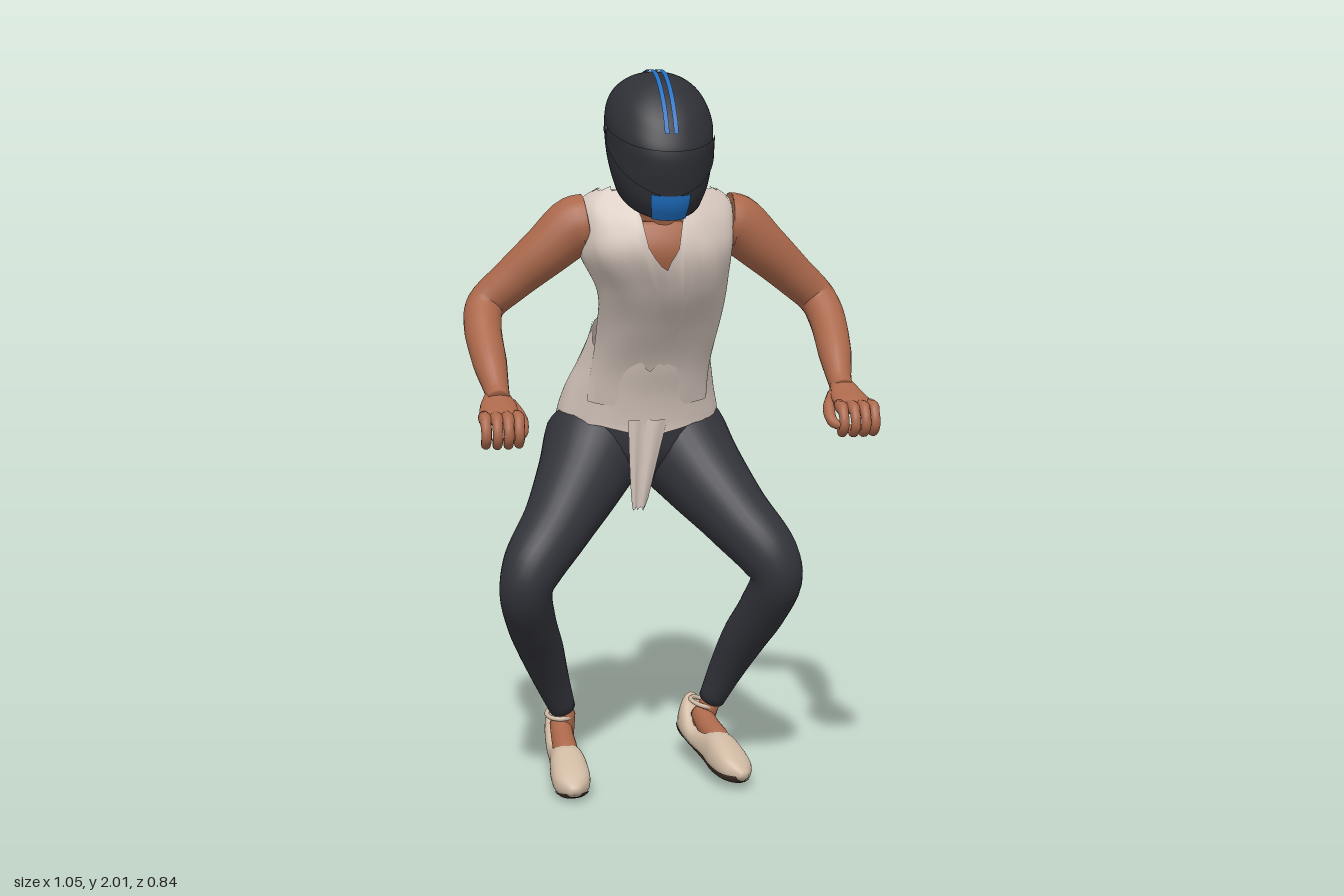
import * as THREE from 'three';

const mat = (name, color, side = THREE.FrontSide) => {
  const m = new THREE.MeshStandardMaterial({ color, side });
  m.name = name;
  return m;
};

// Cubic interpolation through rows of [key, ...values]
function sample(T, x) {
  let i = 0;
  while (i < T.length - 2 && x > T[i + 1][0]) i++;
  const a = T[i], b = T[i + 1], p = T[i - 1] || a, n = T[i + 2] || b;
  const h = b[0] - a[0], t = THREE.MathUtils.clamp((x - a[0]) / h, 0, 1);
  return a.slice(1).map((v, j) => {
    const k = j + 1;
    const m0 = ((b[k] - p[k]) / (b[0] - p[0])) * h, m1 = ((n[k] - a[k]) / (n[0] - a[0])) * h;
    return (2 * t ** 3 - 3 * t * t + 1) * v + (t ** 3 - 2 * t * t + t) * m0
      + (3 * t * t - 2 * t ** 3) * b[k] + (t ** 3 - t * t) * m1;
  });
}

// Straight interpolation, for cloth edges: keys are |angle|, values are heights
const edge = (T) => (a) => {
  const x = Math.abs(a);
  let i = 0;
  while (i < T.length - 2 && x > T[i + 1][0]) i++;
  return THREE.MathUtils.mapLinear(x, T[i][0], T[i + 1][0], T[i][1], T[i + 1][1]);
};

// Skin rows of points into a surface
function grid(rows, closed) {
  const n = rows[0].length, idx = [];
  for (let i = 0; i < rows.length - 1; i++)
    for (let j = 0; j < (closed ? n : n - 1); j++) {
      const k = (j + 1) % n, a = i * n + j, b = i * n + k, c = b + n, d = a + n;
      idx.push(a, b, c, a, c, d);
    }
  const g = new THREE.BufferGeometry().setFromPoints(rows.flat());
  g.setIndex(idx);
  g.computeVertexNormals();
  return g;
}

function capped(rows) {
  const mid = (r) => {
    const c = r.reduce((s, p) => s.add(p), new THREE.Vector3()).divideScalar(r.length);
    return r.map(() => c.clone());
  };
  return [mid(rows[0]), ...rows, mid(rows[rows.length - 1])];
}

// Stacked ovals from a table [y, centreX, halfWidth, frontZ, backZ]
function shell(T, low, high, { n = 48, rows = 24, grow = 0, arc = null, cap = false, q = 1, shape = null } = {}) {
  const lo = typeof low === 'function' ? low : () => low;
  const hi = typeof high === 'function' ? high : () => high;
  const bend = (v) => Math.sign(v) * Math.abs(v) ** q;
  const out = [];
  for (let i = 0; i <= rows; i++) {
    const r = [];
    for (let j = 0; j < (arc ? n + 1 : n); j++) {
      const a = arc ? THREE.MathUtils.lerp(arc[0], arc[1], j / n) : (j / n) * 2 * Math.PI - Math.PI;
      const y = THREE.MathUtils.lerp(lo(a), hi(a), i / rows);
      const [cx, w, zf, zb] = sample(T, y);
      const k = shape ? shape(a, y) : 1;
      r.push(new THREE.Vector3(cx + (w + grow) * k * bend(Math.sin(a)), y,
        (zf + zb) / 2 + ((zf - zb) / 2 + grow) * k * bend(Math.cos(a))));
    }
    out.push(r);
  }
  return grid(cap ? capped(out) : out, !arc);
}

// Limb: path of [x, y, z, radius, flatness], with a reference direction
function limb(path, ref = [0, 0, 1], steps = 28, n = 20) {
  const curve = new THREE.CatmullRomCurve3(path.map((p) => new THREE.Vector3(p[0], p[1], p[2])));
  const size = new THREE.CatmullRomCurve3(path.map((p) => new THREE.Vector3(p[3], p[3] * (p[4] || 1), 0)));
  const F = new THREE.Vector3(...ref), rows = [];
  for (let i = 0; i <= steps; i++) {
    const u = i / steps, c = curve.getPoint(u), t = curve.getTangent(u), r = size.getPoint(u);
    const s = t.clone().cross(F).normalize(), f = s.clone().cross(t);
    rows.push(Array.from({ length: n }, (_, j) => {
      const a = (j / n) * 2 * Math.PI;
      return c.clone().addScaledVector(s, Math.sin(a) * r.x).addScaledVector(f, Math.cos(a) * r.y);
    }));
  }
  return grid(capped(rows), true);
}

const TORSO = [[1.08, 0, .17, -.05, -.17], [1.2, .01, .168, -.004, -.145], [1.32, .017, .168, .075, -.105],
  [1.42, .015, .178, .15, -.08], [1.52, -.008, .207, .195, -.065], [1.6, -.01, .212, .178, -.05],
  [1.66, -.008, .205, .14, -.02], [1.7, -.008, .15, .12, .03]];
const HIPS = [[.86, 0, .14, -.12, -.32], [.94, 0, .23, -.065, -.41], [1.04, 0, .232, -.05, -.417], [1.12, 0, .213, -.03, -.385],
  [1.2, .005, .188, 0, -.325], [1.3, .005, .16, .03, -.235], [1.4, 0, .14, .03, -.215]];
const HELMET = [[-.1, 0, .114, .22, -.115], [-.06, 0, .128, .222, -.145], [-.02, 0, .136, .212, -.178], [.03, 0, .138, .198, -.215],
  [.07, 0, .135, .18, -.198], [.1, 0, .122, .15, -.17], [.13, 0, .098, .11, -.13], [.155, 0, .058, .05, -.08], [.166, 0, .02, -.005, -.035]];
// Foot table runs heel to toe; "front" is the sole
const FOOT = [[-.298, 0, .015, -.08, -.175], [-.275, 0, .036, -.058, -.18], [-.2, 0, .042, -.045, -.1], [-.13, 0, .044, -.028, -.105],
  [-.08, 0, .048, -.015, -.117], [-.03, 0, .054, -.003, -.105], [.04, 0, .048, -.003, -.075], [.082, 0, .014, -.022, -.045]];

export function createModel() {
  const skin = mat('skin', 0xab684b), cloth = mat('cloth', 0xd8c9bf, THREE.DoubleSide);
  const pants = mat('dark trousers', 0x33343b), dark = mat('helmet shell', 0x2f3036);
  const blue = mat('blue paint', 0x1f70c4, THREE.DoubleSide);
  const shoe = mat('shoe leather', 0xcfb9a3), soleMat = mat('sole', 0x43342a);
  const root = new THREE.Group();
  const add = (name, geo, m, parent = root) => {
    const mesh = new THREE.Mesh(geo, m);
    mesh.name = name;
    parent.add(mesh);
    return mesh;
  };

  // Body under the clothes
  add('chest', shell(TORSO, 1.34, 1.61, { grow: -.012, cap: true }), skin);
  add('neck', limb([[0, 1.55, .09, .07], [-.005, 1.62, .115, .055], [-.012, 1.67, .145, .048], [-.02, 1.74, .18, .046]]), skin);

  // Torn top with a V neck and an open back
  const jag = (a) => .009 * Math.sin(a * 17) + .006 * Math.sin(a * 31 + 1);
  const neckline = edge([[0, 1.48], [.2, 1.54], [.27, 1.63], [.45, 1.68], [.9, 1.695], [1.5, 1.69], [1.9, 1.69], [2.15, 1.54],
    [2.3, 1.68], [2.9, 1.695], [3, 1.58], [3.15, 1.56]]);
  const waistline = edge([[0, 1.08], [1.4, 1.1], [2, 1.28], [3.15, 1.3]]);
  add('top', shell(TORSO, waistline, (a) => neckline(a) + .5 * jag(a), { n: 96, rows: 36,
    shape: (a, y) => 1 + .012 * Math.sin(a * 9 + y * 14) + .012 * Math.sin(a * 4 - y * 22) }), cloth);

  // Skirt of the top, gaping behind the waist and split over the seat
  const waist = edge([[0, 1.2], [1, 1.24], [1.5, 1.3], [2.2, 1.32], [2.75, 1.375], [3.15, 1.32]]);
  const hem = edge([[0, 1], [.6, 1.03], [1.57, 1.05], [2.2, 1], [2.65, .92], [2.85, .94], [3.15, 1.1]]);
  const seat = (a) => 1 - .045 * Math.exp(-(((Math.PI - Math.abs(a)) / .22) ** 2));
  add('skirt', shell(HIPS, hem, (a) => waist(a) + jag(a), { n: 96, rows: 24,
    shape: (a, y) => seat(a) + .008 * Math.sin(a * 11 + y * 9) * (Math.cos(a) > -.3 ? 1 : .2) }), cloth);
  const flap = Array.from({ length: 9 }, (_, i) => {
    const t = i / 8, l = THREE.MathUtils.lerp(-.045, -.062, t ** .6), r = THREE.MathUtils.lerp(-.008, .05, t);
    return Array.from({ length: 9 }, (_, j) => new THREE.Vector3(THREE.MathUtils.lerp(l, r, j / 8),
      .79 + .26 * t + (i ? 0 : .006 * (j % 3)), -.065 + .022 * t + .008 * Math.sin(j * 1.4)));
  });
  add('frontFlap', grid(flap, false), cloth);

  // Trousers
  add('trouserSeat', shell(HIPS, .865, 1.2, { grow: -.012, cap: true, shape: seat }), pants);

  for (const s of [1, -1]) {
    const side = s > 0 ? 'left' : 'right', w = s > 0 ? 1 : 1.06;
    const flip = (path, k = 1, dz = 0) => path.map(([x, y, z, ...r]) => [x * s * k, y, z + dz, ...r]);

    // Leg and ankle
    add(side + 'Leg', limb(flip([[.095, 1.0, -.26, .13], [.115, .96, -.225, .148], [.165, .88, -.15, .128], [.245, .77, -.045, .1],
      [.322, .67, .03, .085], [.343, .61, .043, .073], [.322, .5, -.025, .069], [.287, .4, -.1, .064],
      [.25, .29, -.162, .051], [.215, .19, -.2, .038]], w), [0, 0, 1], 44, 28), pants);
    add(side + 'Ankle', limb(flip([[.22, .23, -.19, .03], [.208, .17, -.205, .03], [s > 0 ? .175 : .215, .07, -.215, .032]], w)), skin);

    // Foot with shoe, sole and ankle strap
    const foot = new THREE.Group();
    foot.name = side + 'Foot';
    foot.position.set(s > 0 ? .214 : -.237, s > 0 ? .012 : 0, 0);
    foot.rotation.set(0, s > 0 ? .3 : -.02, s > 0 ? -.27 : 0);
    root.add(foot);
    add('shoe', shell(FOOT, -.298, .082, { cap: true, q: .85, n: 32 }).rotateX(Math.PI / 2), shoe, foot);
    add('sole', shell(FOOT, -.29, .075, { grow: .003, q: .85, n: 16, arc: [-1.15, 1.15] }).rotateX(Math.PI / 2), soleMat, foot);
    add('instep', limb([[0, .14, -.215, .03], [0, .113, -.16, .033], [0, .093, -.1, .035], [0, .078, -.06, .025]], [0, 1, 0]), skin, foot);
    const strap = add('ankleStrap', new THREE.TorusGeometry(.038, .007, 8, 28), shoe, foot);
    strap.position.set(0, .168, -.215);
    strap.rotation.x = Math.PI / 2 + .15;

    // Arm, cut square at the shoulder
    const dz = s > 0 ? 0 : .015;
    add(side + 'Arm', limb(flip([[.196, 1.596, .025, .082], [.222, 1.592, .025, .081], [.3, 1.528, .022, .069], [.39, 1.45, .005, .058],
      [.46, 1.385, 0, .052], [.475, 1.335, .05, .05], [.47, 1.25, .15, .045], [.462, 1.185, .225, .032], [.462, 1.165, .255, .03]],
      1, dz), [.6 * s, .8, 0], 40), skin);

    // Curled hand
    const hand = new THREE.Group();
    hand.name = side + 'Hand';
    root.add(hand);
    add('palm', limb(flip([[.462, 1.175, .235, .03, .9], [.464, 1.155, .28, .046, .5], [.467, 1.14, .33, .051, .4], [.467, 1.13, .36, .05, .35]]),
      [0, 1, 0], 14), skin, hand);
    for (let i = 0; i < 4; i++) {
      const x = .425 + i * .028, l = i === 0 || i === 3 ? -.01 : 0;
      add('finger', limb(flip([[x, 1.138, .34, .014], [x, 1.128, .392 + l, .014], [x, 1.09, .408 + l, .013],
        [x, 1.068, .385 + l, .012], [x, 1.078, .355, .009]]), [1, 0, 0], 14, 10), skin, hand);
    }
    add('thumb', limb(flip([[.432, 1.155, .27, .017], [.408, 1.12, .31, .016], [.412, 1.09, .345, .014], [.435, 1.085, .37, .009]]),
      [0, 1, 0], 12, 10), skin, hand);
  }

  // Helmet, tipped forward
  const helmet = new THREE.Group();
  helmet.name = 'helmet';
  helmet.position.set(-.02, 1.82, .15);
  helmet.rotation.x = Math.PI / 6;
  root.add(helmet);
  const q = .93;
  add('helmetShell', shell(HELMET, -.1, .166, { cap: true, n: 64, rows: 32, q }), dark, helmet);
  add('visor', shell(HELMET, (a) => -.035 + .03 * Math.abs(a), (a) => .078 - .012 * a * a,
    { grow: .005, arc: [-1.45, 1.45], n: 32, rows: 10, q }), dark, helmet);
  add('chinPanel', shell(HELMET, -.1, -.03, { grow: .006, arc: [-.35, .35], n: 10, rows: 6, q }), blue, helmet);
  for (const s of [1, -1]) {
    const hinge = add('visorHinge', new THREE.CylinderGeometry(.012, .012, .008, 16), dark, helmet);
    hinge.rotation.z = Math.PI / 2;
    hinge.position.set(s * .138, .03, -.01);
  }

  // Twin stripes over the crown
  const heights = [.105, .118, .13, .143, .155, .164];
  const over = [...heights.map((y) => [y, sample(HELMET, y)[2]]),
    ...[...heights.slice().reverse(), .09, .07].map((y) => [y, sample(HELMET, y)[3]])];
  const crown = new THREE.CatmullRomCurve3(over.map(([y, z]) => new THREE.Vector3(0, y, z)));
  for (const x of [-.013, .011]) {
    const rows = Array.from({ length: 41 }, (_, i) => {
      const p = crown.getPoint(i / 40), t = crown.getTangent(i / 40);
      return [-.006, .006].map((d) => new THREE.Vector3(x + d, p.y - t.z * .005, p.z + t.y * .005));
    });
    add('stripe', grid(rows, false), blue, helmet);
  }
  return root;
}
